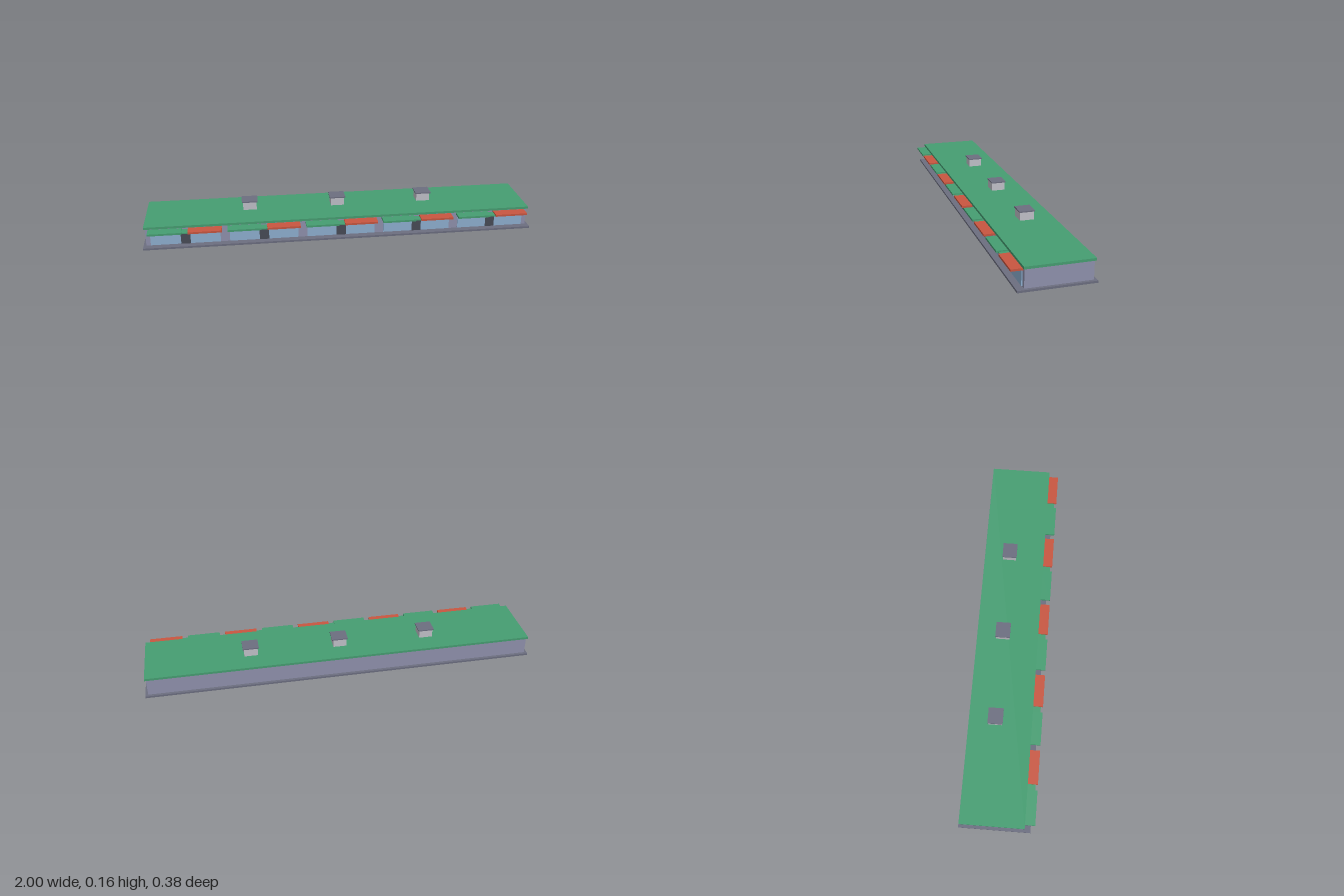
import * as THREE from 'three';

const mat = (name, color) => {
  const m = new THREE.MeshStandardMaterial({ color });
  m.name = name;
  return m;
};

export function createModel() {
  const green = mat('green', 0x469e72);
  const red = mat('brick red', 0xc85640);
  const wall = mat('wall lilac grey', 0x9092ae);
  const slate = mat('slate grey', 0x6c6e80);
  const glass = mat('glass blue', 0x8fb0d2);
  const dark = mat('door charcoal', 0x484b56);
  const pale = mat('pale grey', 0xc2c2ca);

  const model = new THREE.Group();
  model.name = 'shopParade';

  // Box given by its limits on each axis
  const box = (name, material, [x0, x1], [y0, y1], [z0, z1], parent = model) => {
    const mesh = new THREE.Mesh(new THREE.BoxGeometry(x1 - x0, y1 - y0, z1 - z0), material);
    mesh.position.set((x0 + x1) / 2, (y0 + y1) / 2, (z0 + z1) / 2);
    mesh.name = name;
    parent.add(mesh);
    return mesh;
  };

  // Pavement, long body and flat roof
  box('pavement', slate, [-1, 1], [0, 0.01], [-0.188, 0.17]);
  box('walls', wall, [-0.986, 0.986], [0.01, 0.1], [-0.174, 0.135]);
  box('roof', green, [-0.993, 0.993], [0.099, 0.111], [-0.18, 0.14]);

  // Five shopfronts: door in the middle, a window and awning on each side
  for (let i = -2; i <= 2; i++) {
    const shop = new THREE.Group();
    shop.name = 'shopfront';
    shop.position.x = i * 0.3945;
    model.add(shop);

    box('door', dark, [-0.024, 0.024], [0.01, 0.086], [0.13, 0.1385], shop);
    box('doorCanopy', green, [-0.04, 0.04], [0.084, 0.09], [0.134, 0.179], shop);
    for (const side of [-1, 1]) {
      const cx = side * 0.099;
      box('window', glass, [cx - 0.075, cx + 0.075], [0.012, 0.09], [0.13, 0.14], shop);
      box('awning', side < 0 ? green : red, [cx - 0.084, cx + 0.084], [0.086, 0.096], [0.134, 0.19], shop);
    }
  }

  // Three capped roof vents
  for (const x of [-0.46, 0, 0.46]) {
    const vent = new THREE.Group();
    vent.name = 'roofVent';
    vent.position.set(x, 0, -0.0445);
    model.add(vent);
    box('ventBody', pale, [-0.035, 0.035], [0.11, 0.153], [-0.035, 0.035], vent);
    box('ventCap', slate, [-0.041, 0.041], [0.152, 0.158], [-0.038, 0.038], vent);
  }

  return model;
}
